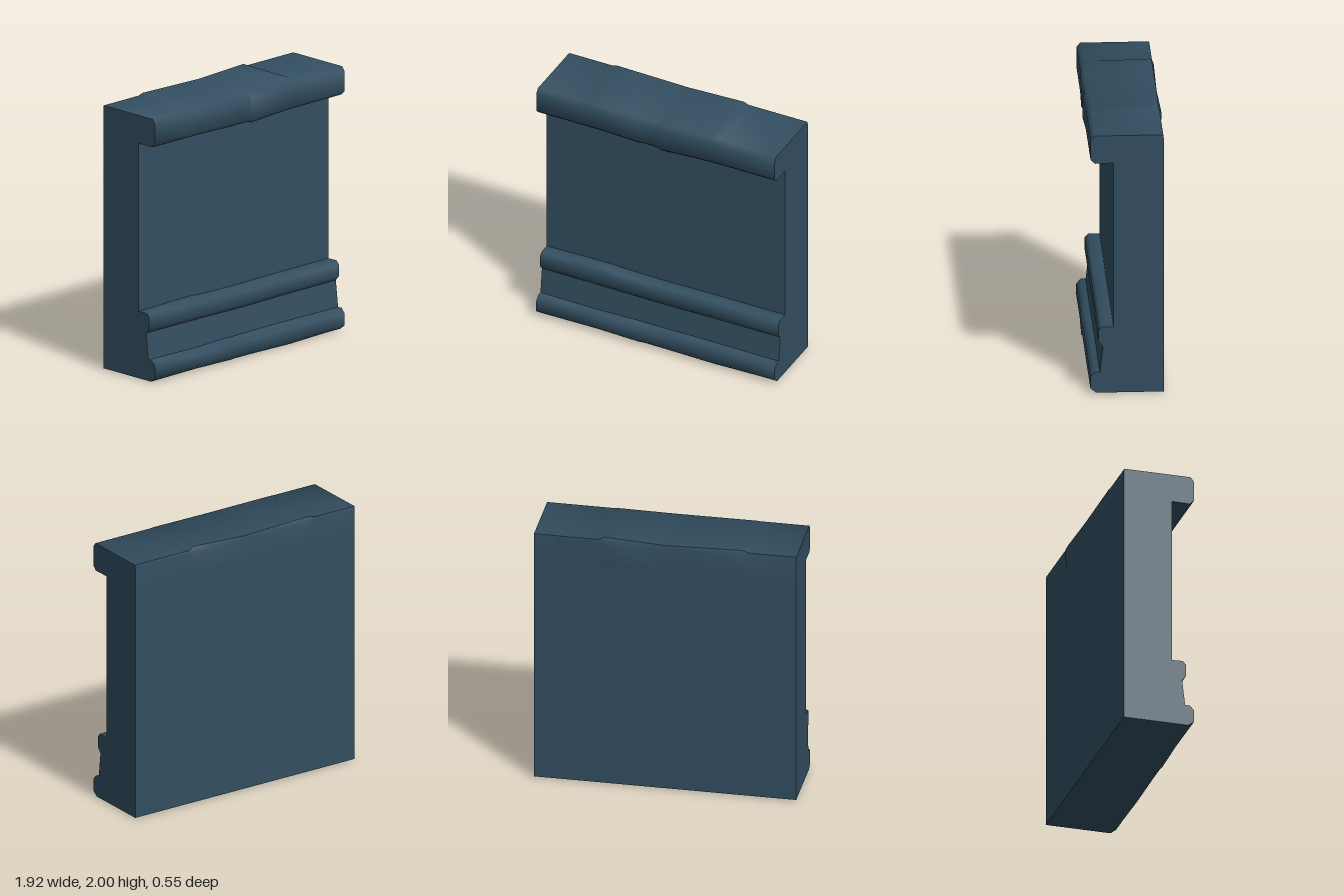
import * as THREE from 'three';
import { toCreasedNormals } from 'three/addons/utils/BufferGeometryUtils.js';

const HALF = 0.962;
const CREASE = 1.0;

// Linear interpolation through [x, value] knots.
function along(knots, x) {
  if (x <= knots[0][0]) return knots[0][1];
  for (let i = 1; i < knots.length; i++) {
    const [x0, v0] = knots[i - 1], [x1, v1] = knots[i];
    if (x <= x1) return v0 + (v1 - v0) * (x - x0) / (x1 - x0);
  }
  return knots[knots.length - 1][1];
}

// Sweeps a convex [z, y] profile along x; the profile may vary with x.
// Points run front bottom, back bottom, back top, front top.
function sweep(stations, profileAt) {
  const xs = [-HALF, ...stations, HALF];
  const rings = xs.map(x => profileAt(x).map(([z, y]) => [x, y, z]));
  const n = rings[0].length, pos = [];
  const tri = (a, b, c) => pos.push(...a, ...b, ...c);
  for (let i = 0; i < rings.length - 1; i++) {
    for (let j = 0; j < n; j++) {
      const k = (j + 1) % n;
      tri(rings[i][j], rings[i][k], rings[i + 1][k]);
      tri(rings[i][j], rings[i + 1][k], rings[i + 1][j]);
    }
  }
  const first = rings[0], last = rings[rings.length - 1];
  for (let j = 1; j < n - 1; j++) {
    tri(last[0], last[j], last[j + 1]);
    tri(first[0], first[j + 1], first[j]);
  }
  const geo = new THREE.BufferGeometry();
  geo.setAttribute('position', new THREE.Float32BufferAttribute(pos, 3));
  return toCreasedNormals(geo, CREASE);
}

export function createModel() {
  const group = new THREE.Group();
  group.name = 'wallSection';
  const slate = new THREE.MeshStandardMaterial({ color: 0x324e60 });
  slate.name = 'slateBlue';

  const add = (name, stations, profileAt) => {
    const mesh = new THREE.Mesh(sweep(stations, profileAt), slate);
    mesh.name = name;
    group.add(mesh);
  };

  // Main slab
  add('wall', [], () => [[0.1, 0.008], [-0.262, 0.008], [-0.262, 1.77], [0.1, 1.77]]);

  // Overhanging cap with worn, uneven edges
  const lift = [[-0.61, 0], [-0.57, 0.014], [0, 0], [0.45, 0.02], [0.485, 0]];
  const sag = [[-0.5, 0], [0, 0.008], [0.04, 0.017], [0.45, 0]];
  const bulge = [[-0.45, 0], [-0.15, 0.008], [-0.12, 0], [0.02, 0], [0.04, 0.009], [0.3, 0]];
  add('cap', [-0.61, -0.57, -0.45, -0.15, -0.12, 0, 0.02, 0.04, 0.3, 0.45, 0.485], x => {
    const t = along(lift, x), s = along(sag, x), f = along(bulge, x);
    return [
      [0.266 + f, 1.797 - s], [0.234 + f, 1.767 - s], [0.1, 1.77 - s], [0.09, 1.77],
      [-0.262, 1.77], [-0.262 - t * 0.6, 1.955], [-0.258 + t * 0.3, 1.98 + t],
      [0.24, 1.98 + t * 0.15], [0.266 + f, 1.946 - s * 0.3],
    ];
  });

  // Upper moulding
  const railTop = [[-0.9, 0], [-0.6, 0.007], [-0.41, 0.008], [-0.37, 0.002], [0, -0.004], [0.4, 0]];
  const railLow = [[-0.5, 0], [0, -0.006], [0.45, 0]];
  add('upperMoulding', [-0.6, -0.41, -0.37, 0, 0.4], x => {
    const t = along(railTop, x), b = along(railLow, x);
    return [
      [0.207, 0.398 + b], [0.175, 0.36 + b], [0.1, 0.36 + b],
      [0.1, 0.51 + t], [0.182, 0.512 + t], [0.207, 0.485 + t],
    ];
  });

  // Sloping panel between the mouldings
  add('skirtingPanel', [], () => [[0.2, 0.16], [0.1, 0.16], [0.1, 0.365], [0.176, 0.365]]);

  // Foot moulding
  const footTop = [[-0.8, 0], [-0.5, -0.005], [-0.15, 0.002], [-0.12, 0], [0.3, 0.004], [0.8, 0]];
  const footLow = [[-0.8, 0], [-0.5, 0.004], [-0.15, 0], [0.1, -0.002], [0.45, -0.008], [0.8, 0]];
  const footOut = [[-0.5, 0], [-0.15, 0.007], [-0.12, 0]];
  add('footMoulding', [-0.5, -0.15, -0.12, 0.1, 0.3, 0.45, 0.8], x => {
    const t = along(footTop, x), b = along(footLow, x), f = along(footOut, x);
    return [
      [0.267 + f, 0.042 + b], [0.225 + f, 0.008 + b], [0.1, 0.008],
      [0.1, 0.166 + t], [0.235, 0.166 + t], [0.267 + f, 0.13 + t],
    ];
  });

  return group;
}
